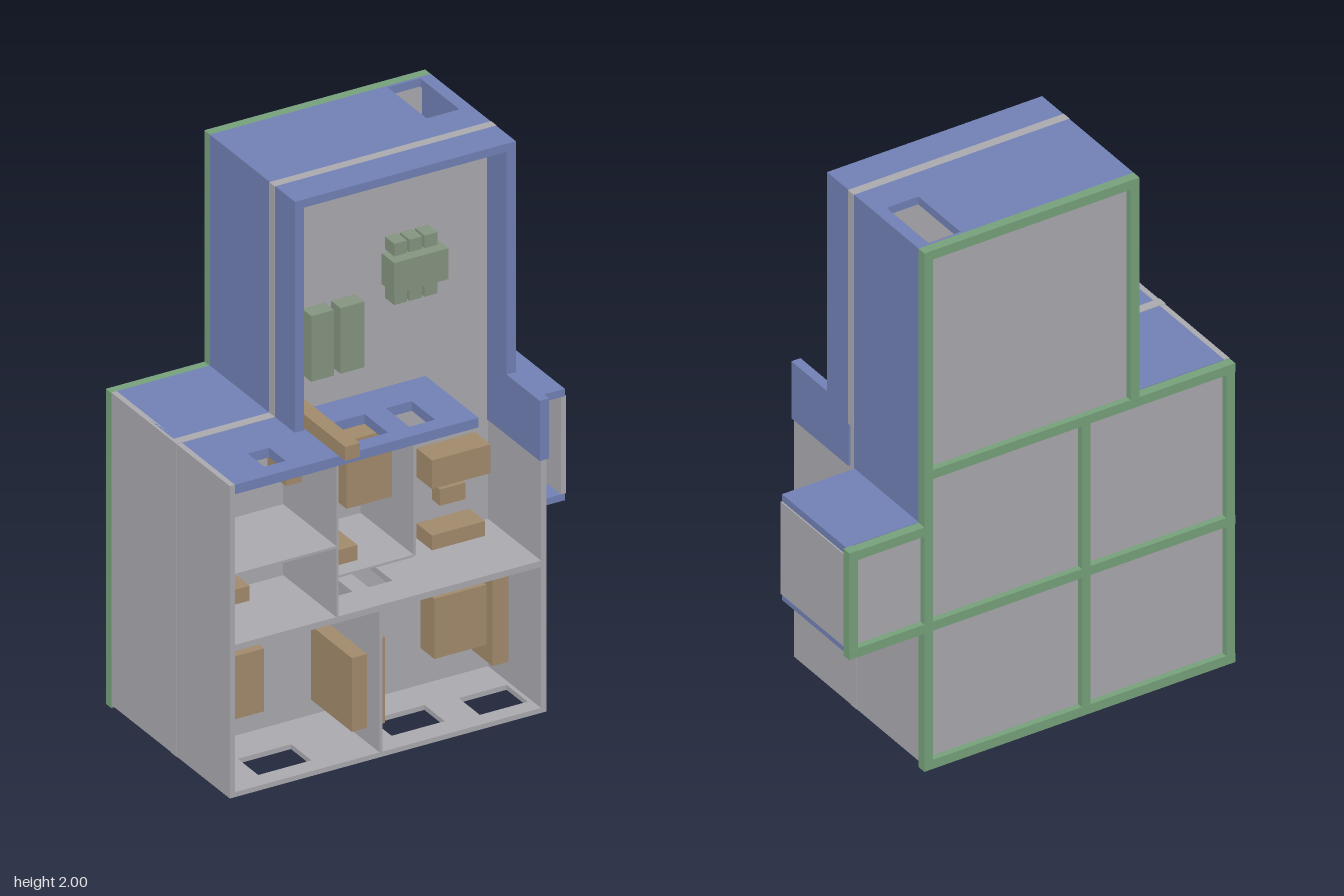
import * as THREE from 'three';

function flat(name, color) {
  const m = new THREE.MeshStandardMaterial({ color });
  m.name = name;
  return m;
}

export function createModel() {
  const root = new THREE.Group();
  root.name = 'houseFloorModel';
  const grey = flat('plaster grey', 0xa9a8ad);
  const blue = flat('facade blue', 0x7080b4);
  const tan = flat('furniture tan', 0xa18a6b);
  const green = flat('foundation green', 0x76a07a);
  const sage = flat('terrace sage', 0x84947f);

  const group = (name) => {
    const g = new THREE.Group();
    g.name = name;
    root.add(g);
    return g;
  };
  // Box given by its limits on each axis
  const box = (parent, name, mat, x0, x1, y0, y1, z0, z1) => {
    const m = new THREE.Mesh(new THREE.BoxGeometry(x1 - x0, y1 - y0, z1 - z0), mat);
    m.position.set((x0 + x1) / 2, (y0 + y1) / 2, (z0 + z1) / 2);
    m.name = name;
    parent.add(m);
  };
  const trace = (path, pts) => {
    pts.forEach(([x, y], i) => (i ? path.lineTo(x, y) : path.moveTo(x, y)));
    path.closePath();
    return path;
  };
  const rect = (path, [a, b, c, d]) => trace(path, [[a, c], [b, c], [b, d], [a, d]]);
  // Wall running along x, pierced by [x0, x1, z0, z1] openings
  const piercedWall = (parent, name, mat, x0, x1, y0, y1, z0, z1, holes) => {
    const s = rect(new THREE.Shape(), [x0, x1, z0, z1]);
    holes.forEach((h) => s.holes.push(rect(new THREE.Path(), h)));
    const g = new THREE.ExtrudeGeometry(s, { depth: y1 - y0, bevelEnabled: false });
    g.rotateX(Math.PI / 2).translate(0, y1, 0);
    const m = new THREE.Mesh(g, mat);
    m.name = name;
    parent.add(m);
  };

  const B = -0.38, T = 0.375, S0 = 0.002, S1 = 0.037, TT = 0.163;
  const door = [0.287, 0.41, -0.37, -0.12];

  // Green foundation beams on the back
  const base = group('foundation');
  [[0, -0.745, 0.455], [0.55, -0.745, 0.745], [1.135, -0.745, 0.455], [1.982, -0.375, 0.455], [0.925, 0.44, 0.745]]
    .forEach(([y, a, b]) => box(base, 'crossBeam', green, a, b, y - (y ? 0.017 : 0), y + (y ? 0.018 : 0.035), -0.415, B));
  [[-0.728, 0, 1.15], [-0.17, 0, 1.15], [0.438, 0, 2], [-0.358, 1.12, 2], [0.728, 0.535, 0.945]]
    .forEach(([x, a, b]) => box(base, 'uprightBeam', green, x - 0.017, x + 0.017, a, b, -0.4145, B));
  box(base, 'lowerFloor', grey, -0.735, 0.445, 0.015, 1.15, -0.392, -0.375);
  box(base, 'towerFloor', grey, -0.37, 0.45, 1.15, 1.99, -0.392, -0.375);
  box(base, 'annexFloor', grey, 0.445, 0.735, 0.54, 0.94, -0.392, -0.375);

  // Middle slab with the stair opening
  const slabShape = trace(new THREE.Shape(), [[-0.747, 0.012], [0.447, 0.012], [0.447, 1.1],
    [0.457, 1.1], [0.457, 2], [-0.377, 2], [-0.377, 1.157], [-0.747, 1.157]]);
  slabShape.holes.push(rect(new THREE.Path(), [-0.05, 0.075, 0.58, 0.94]));
  const slab = new THREE.Mesh(
    new THREE.ExtrudeGeometry(slabShape, { depth: S1 - S0, bevelEnabled: false }), grey);
  slab.position.z = S0;
  slab.name = 'middleSlab';
  root.add(slab);

  // Outer walls of the main block
  const shell = group('outerWalls');
  [[B, S0], [S1, T]].forEach(([z0, z1]) => {
    box(shell, 'leftSideWall', grey, -0.745, -0.725, 0.012, 1.155, z0, z1);
    box(shell, 'rightSideWall', grey, 0.425, 0.445, 0.012, 0.935, z0, z1);
    box(shell, 'rightBlueWall', blue, 0.42, 0.455, 0.935, 1.155, z0, z1);
  });
  piercedWall(shell, 'bottomWallUpper', grey, -0.725, 0.425, 0.012, 0.03, S1, T,
    [[-0.6, -0.4, 0.18, 0.31], [-0.09, 0.11, 0.165, 0.295], [0.23, 0.41, 0.18, 0.315]]);
  piercedWall(shell, 'bottomWallLower', grey, -0.725, 0.425, 0.012, 0.03, B, S0,
    [[-0.6, -0.4, -0.24, -0.1], [-0.12, 0.08, -0.24, -0.1], door]);
  piercedWall(shell, 'topWallUpper', blue, -0.735, 0.19, 1.12, 1.155, S1, T,
    [[-0.58, -0.5, 0.21, 0.315], [-0.275, -0.115, 0.166, 0.315], [-0.035, 0.062, 0.166, 0.315]]);
  box(shell, 'topWallLower', blue, -0.735, -0.34, 1.12, 1.155, B, S0);
  piercedWall(shell, 'towerDivider', grey, -0.34, 0.42, 1.13, 1.15, B, S0, [door]);

  // Tower with a low parapet in front of the slab
  const tower = group('tower');
  [[B, S0], [S1, TT]].forEach(([z0, z1], i) => {
    box(tower, 'towerLeftWall', blue, -0.375, -0.342, 1.155, 2, z0, z1);
    box(tower, 'towerRightWall', blue, 0.42, 0.455, 1.155, 2, z0, z1);
    piercedWall(tower, 'towerTopWall', blue, -0.342, 0.42, 1.97, 2, z0, z1, i ? [] : [door]);
  });

  // Annex, open to the front
  const annex = group('annex');
  box(annex, 'annexTopWall', blue, 0.445, 0.735, 0.918, 0.945, B, 0);
  box(annex, 'annexBottomWall', blue, 0.445, 0.735, 0.537, 0.562, B, 0);
  box(annex, 'annexSideWall', grey, 0.72, 0.74, 0.562, 0.918, B, 0);

  // Inner partitions
  const inner = group('partitions');
  piercedWall(inner, 'crossWallUpper', grey, -0.725, 0.425, 0.546, 0.569, S1, T,
    [[-0.3, -0.21, 0.05, 0.25], [-0.15, -0.06, 0.05, 0.25]]);
  piercedWall(inner, 'crossWallLower', grey, -0.725, 0.425, 0.546, 0.569, B, S0, [door]);
  box(inner, 'bedroomWall', grey, -0.182, -0.172, 0.03, 0.546, S1, T);
  box(inner, 'bedroomWallLower', grey, -0.182, -0.172, 0.03, 0.546, B, S0);
  box(inner, 'hallWall', grey, -0.345, -0.337, 0.569, 1.12, S1, T);
  box(inner, 'kitchenWall', grey, -0.054, -0.046, 0.715, 1.12, S1, T);
  box(inner, 'bathWall', grey, -0.725, -0.345, 0.82, 0.829, S1, T);
  box(inner, 'closetWall', grey, -0.337, -0.054, 0.711, 0.719, S1, T);

  // Stairs between the floors
  const stairs = group('stairs');
  const steps = 11;
  for (let i = 0; i < steps; i++) {
    const y = 0.58 + (0.36 * i) / steps;
    box(stairs, 'step', grey, -0.05, 0.075, y, y + 0.36 / steps, -0.375, S1 - 0.002 - i * 0.034);
  }

  // Upper floor furniture: name, x0, x1, y0, y1, height above the slab
  const rooms = group('furniture');
  [
    ['bed', -0.72, -0.47, 0.145, 0.375, 0.09], ['headboard', -0.724, -0.665, 0.095, 0.43, 0.13],
    ['bed', 0.17, 0.37, 0.165, 0.385, 0.09], ['headboard', 0.365, 0.424, 0.105, 0.445, 0.13],
    ['wardrobe', -0.24, -0.183, 0.085, 0.355, 0.26], ['wardrobe', -0.171, -0.115, 0.085, 0.4, 0.26],
    ['bathtub', -0.724, -0.605, 0.93, 1.115, 0.1], ['basin', -0.58, -0.535, 1.06, 1.115, 0.1],
    ['cabinet', -0.405, -0.346, 0.965, 1.1, 0.12], ['kitchenUnit', -0.225, -0.055, 0.87, 1.118, 0.2],
    ['tallCupboard', -0.335, -0.23, 0.72, 0.775, 0.278], ['shower', -0.724, -0.605, 0.572, 0.76, 0.08],
    ['sideboard', -0.605, -0.53, 0.571, 0.625, 0.1], ['stool', -0.54, -0.49, 0.765, 0.818, 0.08],
    ['sofa', 0.155, 0.375, 0.795, 0.9, 0.1], ['coffeeTable', 0.215, 0.31, 0.695, 0.755, 0.05],
    ['mediaUnit', 0.155, 0.355, 0.571, 0.625, 0.1],
  ].forEach(([n, a, b, c, d, h]) => box(rooms, n, tan, a, b, c, d, S1, S1 + h));

  // Annex and tower furniture standing on the lower floor
  box(rooms, 'annexShelf', tan, 0.655, 0.72, 0.77, 0.918, -0.375, -0.2);
  box(rooms, 'annexBed', tan, 0.6, 0.72, 0.565, 0.75, -0.375, -0.25);
  box(rooms, 'annexSeat', tan, 0.49, 0.54, 0.565, 0.655, -0.375, -0.26);
  box(rooms, 'towerBench', tan, 0.285, 0.338, 1.75, 1.94, -0.375, -0.325);
  box(rooms, 'towerBenchBack', tan, 0.285, 0.322, 1.75, 1.94, -0.325, -0.29);

  // Chimney beam rising past the parapet
  box(root, 'chimney', tan, -0.335, -0.28, 1.156, 1.207, S1, 0.415);

  // Terrace furniture
  const terrace = group('terraceFurniture');
  [[-0.275, -0.19], [-0.165, -0.075]].forEach(([a, b]) =>
    box(terrace, 'lounger', sage, a, b, 1.285, 1.525, S1, S1 + 0.06));
  box(terrace, 'diningTable', sage, 0.025, 0.228, 1.535, 1.648, S1, S1 + 0.08);
  [0.037, 0.094, 0.151].forEach((x) => [1.482, 1.66].forEach((y) =>
    box(terrace, 'diningChair', sage, x, x + 0.048, y, y + 0.046, S1, S1 + 0.06)));

  return root;
}
